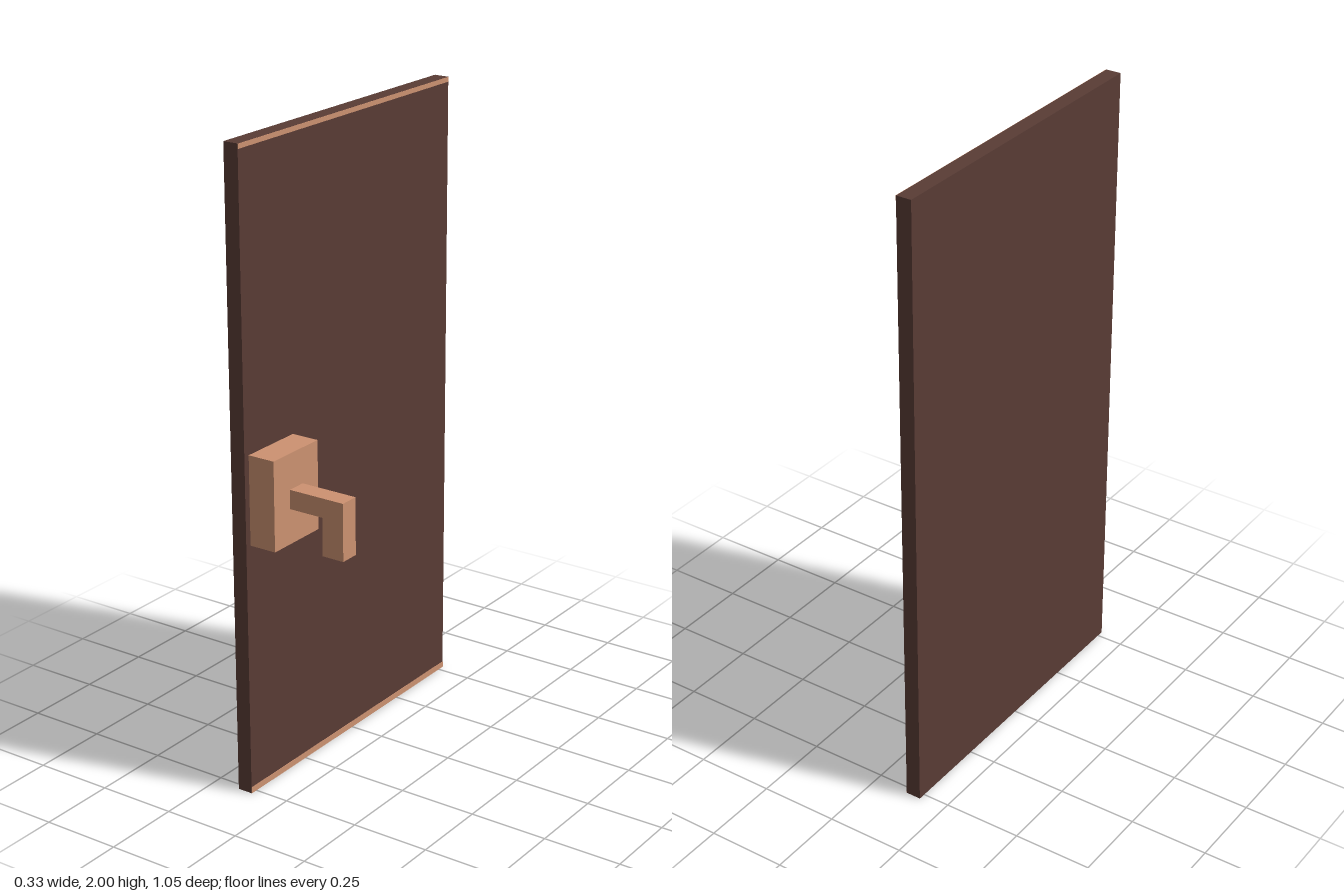
import * as THREE from 'three';

export function createModel() {
  const group = new THREE.Group();
  const darkWood = new THREE.MeshStandardMaterial({ color: 0x593c35 });
  darkWood.name = 'darkWood';
  const tan = new THREE.MeshStandardMaterial({ color: 0xcd9271 });
  tan.name = 'tan';

  // Box given by its min and max corners
  function box(name, material, [x0, y0, z0], [x1, y1, z1]) {
    const mesh = new THREE.Mesh(new THREE.BoxGeometry(x1 - x0, y1 - y0, z1 - z0), material);
    mesh.position.set((x0 + x1) / 2, (y0 + y1) / 2, (z0 + z1) / 2);
    mesh.name = name;
    group.add(mesh);
  }

  // Door slab, with thin trim at the top and bottom of the handle side
  box('doorPanel', darkWood, [-0.163, 0, -0.523], [-0.114, 2, 0.523]);
  box('topTrim', tan, [-0.115, 1.985, -0.523], [-0.1125, 1.9995, 0.523]);
  box('bottomTrim', tan, [-0.115, 0.0005, -0.523], [-0.1125, 0.02, 0.523]);

  // Lock plate
  box('lockPlate', tan, [-0.114, 0.805, 0.291], [-0.025, 1.086, 0.503]);

  // L-shaped handle: arm reaching out, then a grip hanging down
  const profile = new THREE.Shape([
    [-0.025, 0.915], [0.09, 0.915], [0.09, 0.795],
    [0.163, 0.795], [0.163, 0.975], [-0.025, 0.975],
  ].map(([x, y]) => new THREE.Vector2(x, y)));
  const handle = new THREE.Mesh(
    new THREE.ExtrudeGeometry(profile, { depth: 0.062, bevelEnabled: false }), tan);
  handle.position.z = 0.366;
  handle.name = 'handle';
  group.add(handle);

  return group;
}
